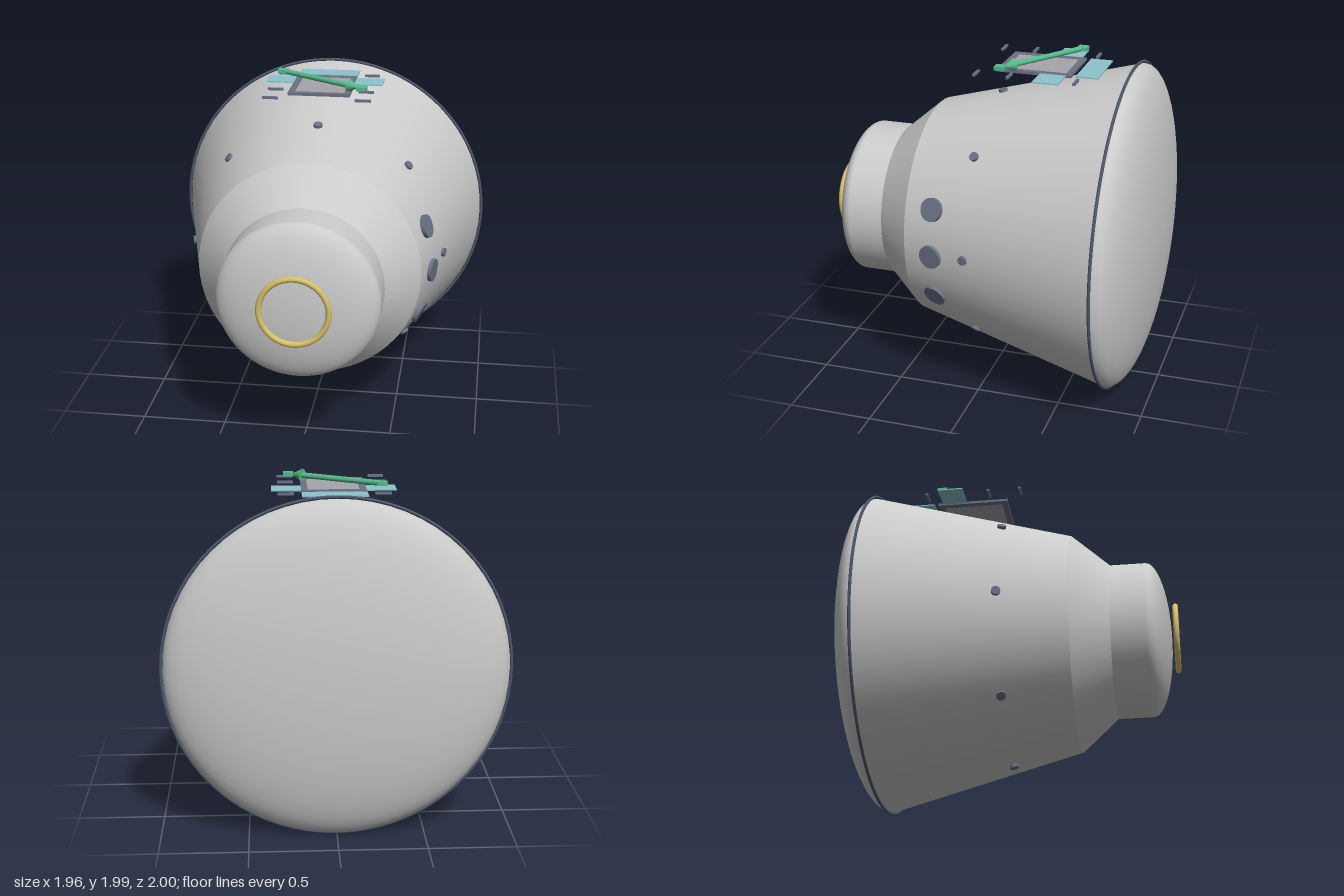
import * as THREE from 'three';

const AXIS_Y = 0.985;
const UP = new THREE.Vector3(0, 1, 0);
const mat = (color, side = THREE.FrontSide) => new THREE.MeshStandardMaterial({ color, side });

export function createModel() {
  const model = new THREE.Group();
  model.name = 'spaceCapsule';
  const grey = mat(0xcccccc, THREE.DoubleSide);
  const dark = mat(0x6b7286);
  const rimMat = mat(0x50566a);
  const gold = mat(0xd6c06a);
  const teal = mat(0x8cc4cc);
  const green = mat(0x55b98a);
  const panelMat = mat(0xa6a6aa);

  const add = (parent, name, geo, material, x = 0, y = 0, z = 0) => {
    const mesh = new THREE.Mesh(geo, material);
    mesh.name = name;
    mesh.position.set(x, y, z);
    parent.add(mesh);
    return mesh;
  };

  // Hull: turned sections along z, separate so the edges stay crisp
  const hull = new THREE.Group();
  hull.name = 'hull';
  hull.position.y = AXIS_Y;
  model.add(hull);
  const turned = (name, profile) => {
    const pts = profile.map(([z, r]) => new THREE.Vector2(r, z));
    add(hull, name, new THREE.LatheGeometry(pts, 64).rotateX(Math.PI / 2), grey);
  };
  // Quarter-ellipse cap, ordered from low z to high z
  const cap = (z0, radius, depth) => {
    const pts = [];
    for (let i = 0; i <= 14; i++) {
      const a = (i / 14) * Math.PI / 2;
      pts.push([z0 + depth * Math.sin(a), i === 14 ? 0 : radius * Math.cos(a)]);
    }
    return depth < 0 ? pts.reverse() : pts;
  };
  turned('heatShield', cap(-0.78, 0.96, -0.22));
  turned('mainCone', [[-0.78, 0.96], [0.39, 0.652]]);
  turned('shoulder', [[0.39, 0.652], [0.61, 0.462]]);
  turned('noseCollar', [[0.61, 0.462], [0.82, 0.462]]);
  turned('noseCap', cap(0.82, 0.462, 0.135));
  add(hull, 'shieldRim', new THREE.TorusGeometry(0.969, 0.009, 8, 96), rimMat, 0, 0, -0.777);
  add(hull, 'dockingRing', new THREE.TorusGeometry(0.193, 0.017, 12, 64), gold, 0, 0, 0.982);

  // Discs lying on the cone surface
  const slope = Math.atan(0.308 / 1.17);
  const coneDisc = (name, degrees, z, radius, thickness, lift) => {
    const a = THREE.MathUtils.degToRad(degrees);
    const r = 0.652 + (0.39 - z) * 0.308 / 1.17 + lift;
    const disc = add(hull, name, new THREE.CylinderGeometry(radius, radius, thickness, 28), dark,
      r * Math.cos(a), r * Math.sin(a), z);
    disc.quaternion.setFromUnitVectors(UP, new THREE.Vector3(
      Math.cos(a) * Math.cos(slope), Math.sin(a) * Math.cos(slope), Math.sin(slope)));
  };
  for (const deg of [20, -2.5, -25.5]) coneDisc('window', deg, 0.213, 0.068, 0.022, 0.01);
  for (let i = 0; i < 8; i++) coneDisc('thruster', i * 45, 0, 0.026, 0.022, 0.006);

  // Hatch assembly floating above the cone
  const hatch = new THREE.Group();
  hatch.name = 'hatch';
  hatch.position.set(0, 1.924, -0.237);
  model.add(hatch);
  const box = (name, w, h, d, material, x, y, z) =>
    add(hatch, name, new THREE.BoxGeometry(w, h, d), material, x, y, z);
  box('hatchPanel', 0.3, 0.008, 0.38, panelMat, 0, 0, 0);
  for (const s of [-1, 1]) {
    box('hatchFrameSide', 0.036, 0.016, 0.436, dark, s * 0.165, 0, 0);
    box('hatchFrameEnd', 0.294, 0.016, 0.036, dark, 0, 0, s * 0.2);
    box('sidePanel', 0.17, 0.007, 0.15, teal, s * 0.267, 0.002, -0.113);
    for (const z of [-0.268, 0.117, 0.312])
      box('handrail', 0.092, 0.014, 0.016, dark, s * 0.27, 0, z);
  }
  box('rearPanel', 0.366, 0.007, 0.13, teal, 0, 0.002, -0.308);

  // Diagonal arrow with a block at each end
  const start = new THREE.Vector3(-0.27, 1.962, -0.41);
  const end = new THREE.Vector3(0.25, 1.962, -0.06);
  const arrow = new THREE.Group();
  arrow.name = 'arrow';
  model.add(arrow);
  const dir = end.clone().sub(start);
  const length = dir.length();
  dir.normalize();
  const along = (name, geo, t) => {
    const mesh = add(arrow, name, geo, green);
    mesh.position.copy(start).addScaledVector(dir, t);
    mesh.quaternion.setFromUnitVectors(UP, dir);
  };
  along('arrowShaft', new THREE.CylinderGeometry(0.016, 0.016, length - 0.06, 16), (length - 0.06) / 2);
  along('arrowHead', new THREE.ConeGeometry(0.037, 0.075, 20), length - 0.06);
  for (const p of [start, end])
    add(arrow, 'arrowBlock', new THREE.BoxGeometry(0.06, 0.022, 0.06), green, p.x, p.y, p.z);

  return model;
}
